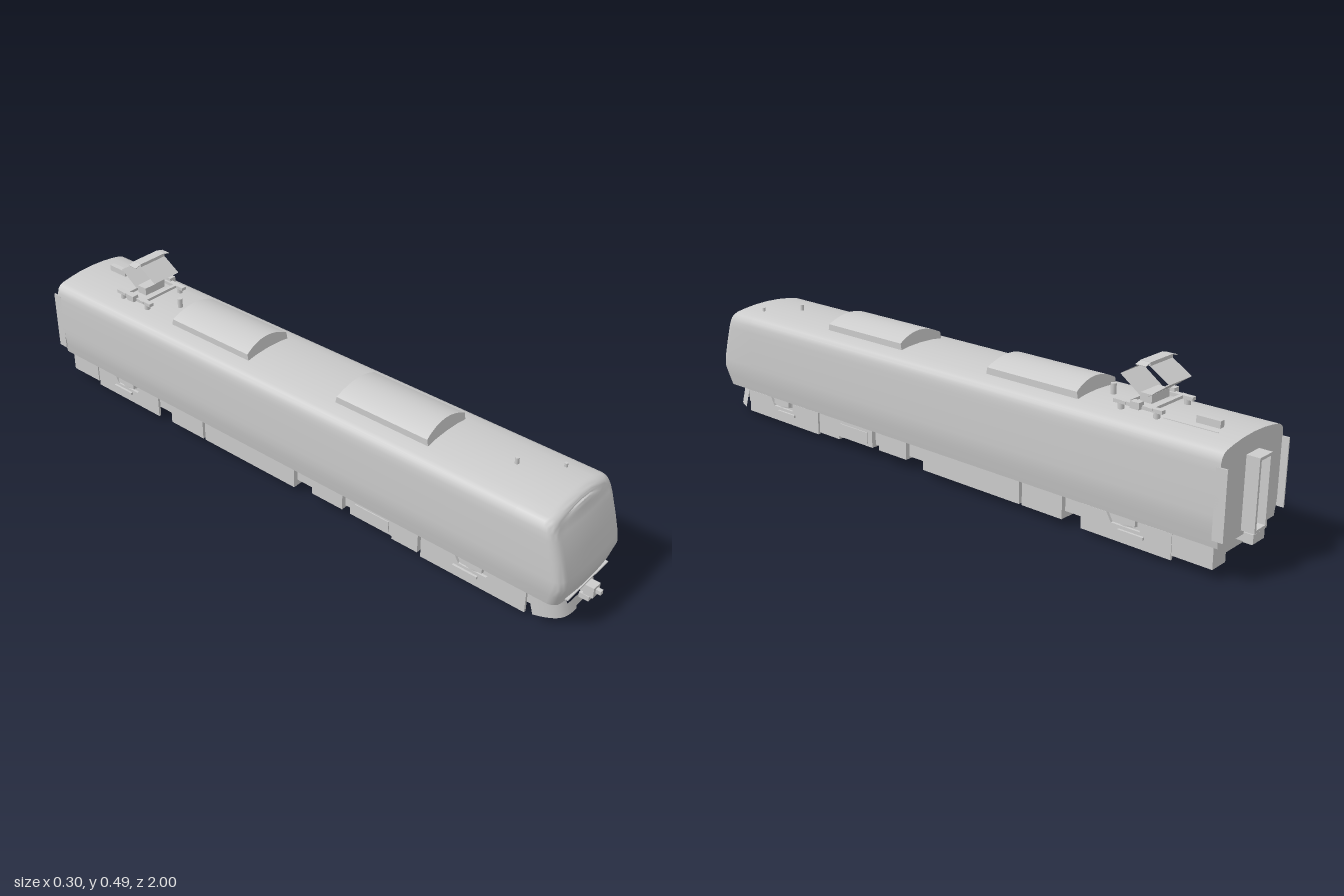
import * as THREE from 'three';
import { toCreasedNormals } from 'three/addons/utils/BufferGeometryUtils.js';

const grey = new THREE.MeshStandardMaterial({ color: 0xcccccc });
const thin = new THREE.MeshStandardMaterial({ color: 0xcccccc, side: THREE.DoubleSide });

function add(parent, name, geo, mat = grey) {
  const m = new THREE.Mesh(geo, mat);
  m.name = name;
  parent.add(m);
  return m;
}

// box given by its limits on each axis
function box(parent, name, x0, x1, y0, y1, z0, z1) {
  const g = new THREE.BoxGeometry(x1 - x0, y1 - y0, z1 - z0);
  g.translate((x0 + x1) / 2, (y0 + y1) / 2, (z0 + z1) / 2);
  return add(parent, name, g);
}

function rod(parent, name, r, x, y0, y1, z) {
  const g = new THREE.CylinderGeometry(r, r, y1 - y0, 12);
  g.translate(x, (y0 + y1) / 2, z);
  return add(parent, name, g);
}

// skin between closed rings of [x, y, z], ordered from back to front
function loft(rings, crease) {
  const n = rings[0].length, index = [];
  for (let i = 0; i < rings.length - 1; i++) {
    for (let j = 0; j < n; j++) {
      const a = i * n + j, b = i * n + (j + 1) % n;
      index.push(a, b, a + n, b, b + n, a + n);
    }
  }
  const g = new THREE.BufferGeometry();
  g.setAttribute('position', new THREE.Float32BufferAttribute(rings.flat(2), 3));
  g.setIndex(index);
  return toCreasedNormals(g, crease);
}

function carBody(parent) {
  const half = [[0.135, 0.095], [0.142, 0.13], [0.147, 0.16], [0.148, 0.185], [0.148, 0.24],
    [0.148, 0.3], [0.147, 0.322], [0.143, 0.336], [0.135, 0.345], [0.122, 0.351],
    [0.09, 0.357], [0.05, 0.362]];
  const profile = [...half, [0, 0.364], ...half.map(([x, y]) => [-x, y]).reverse()];
  // slanting line of the cab front
  const front = (y) => y < 0.165
    ? 0.945 + (y - 0.095) * 0.28
    : 0.9646 - 0.24 * (y - 0.165) - 0.25 * Math.max(0, y - 0.165) ** 2;
  const ring = (s, z) => profile.map(([x, y]) => [x * s, y, z]);
  const rings = [ring(0, -0.962), ring(1, -0.962), ring(1, 0.8)];
  const r = 0.03;
  const nose = (s, inset, back) => profile.map(([x, y]) => {
    const top = THREE.MathUtils.smoothstep(y, 0.28, 0.34);
    const z = front(y) - back + 0.006 * (1 - s * s);
    return [x * s * (1 - inset / 0.148), y - inset * 0.5 * top, z];
  });
  for (let k = 0; k <= 6; k++) {
    const t = k / 6 * Math.PI / 2;
    rings.push(nose(1, r * (1 - Math.cos(t)), r * (1 - Math.sin(t))));
  }
  for (const s of [0.75, 0.5, 0.25, 0]) rings.push(nose(s, r, 0));
  add(parent, 'carBody', loft(rings, 0.7));
  box(parent, 'cabSill', -0.1, 0.1, 0.103, 0.107, 0.93, 0.958);
}

// roof unit with an arched top and slightly sloping ends
function roofUnit(parent, z) {
  const ring = (s, dz, full) => {
    const pts = [[0.085, 0.345], [0.085, 0.377]];
    for (let k = 1; k < 12; k++) {
      const u = Math.cos(k / 12 * Math.PI);
      pts.push([0.085 * u, 0.377 + 0.024 * (1 - u * u)]);
    }
    pts.push([-0.085, 0.377], [-0.085, 0.345]);
    return pts.map(([x, y]) => [x * full, y, z + s * (0.163 - dz * (y - 0.345))]);
  };
  const rings = [ring(-1, 0.2, 0), ring(-1, 0.2, 1), ring(1, 0.2, 1), ring(1, 0.2, 0)];
  add(parent, 'roofUnit', loft(rings, 0.6));
}

function pantograph(parent) {
  const g = new THREE.Group();
  g.name = 'pantograph';
  g.position.z = -0.67;
  parent.add(g);
  for (const s of [-1, 1]) {
    box(g, 'baseRail', s * 0.07 - 0.008, s * 0.07 + 0.008, 0.374, 0.384, -0.075, 0.075);
    box(g, 'baseBar', -0.08, 0.08, 0.376, 0.384, s * 0.04 - 0.006, s * 0.04 + 0.006);
    box(g, 'sideBracket', s * 0.08 - 0.011, s * 0.08 + 0.011, 0.375, 0.394, -0.014, 0.014);
    for (const e of [-1, 1]) rod(g, 'insulator', 0.009, s * 0.07, 0.35, 0.376, e * 0.055);
    // lower and upper arms form a diamond
    for (const [y0, z0, y1, z1] of [[0.4, 0.012, 0.445, 0.075], [0.445, 0.075, 0.487, 0.008]]) {
      const p = new THREE.PlaneGeometry(0.102, Math.hypot(y1 - y0, z1 - z0));
      p.rotateX(Math.atan2(z1 - z0, y1 - y0));
      p.translate(0, (y0 + y1) / 2, (z0 + z1) / 2);
      if (s < 0) p.rotateY(Math.PI);
      add(g, 'arm', p, thin);
    }
    const horn = box(g, 'horn', -0.012, 0.012, -0.001, 0.001, -0.016, 0.016);
    horn.position.set(s * 0.059, 0.489, 0);
    horn.rotation.z = -s * 0.25;
  }
  box(g, 'hingeBlock', -0.04, 0.04, 0.38, 0.404, -0.018, 0.018);
  box(g, 'contactHead', -0.05, 0.05, 0.483, 0.493, -0.016, 0.016);
}

function bogie(parent, z, len) {
  const g = new THREE.Group();
  g.name = 'bogie';
  g.position.z = z;
  parent.add(g);
  const h = len / 2;
  for (const s of [-1, 1]) {
    // side frame with a raised waist cut for the spring
    const shape = new THREE.Shape([[-h, 0.015], [h, 0.015], [h, 0.088], [0.06, 0.088],
      [0.045, 0.062], [-0.045, 0.062], [-0.06, 0.088], [-h, 0.088]]
      .map(([a, b]) => new THREE.Vector2(a, b)));
    const f = new THREE.ExtrudeGeometry(shape, { depth: 0.008, bevelEnabled: false });
    f.rotateY(Math.PI / 2);
    f.translate(s * 0.119 - 0.004, 0, 0);
    add(g, 'sideFrame', f);
    rod(g, 'airSpring', 0.034, s * 0.096, 0.068, 0.096, 0);
    box(g, 'damper', s * 0.126 - 0.004, s * 0.126 + 0.004, 0.045, 0.053, -0.06, 0.02);
    box(g, 'damperBracket', s * 0.125 - 0.005, s * 0.125 + 0.005, 0.074, 0.095, -0.035, 0.035);
    for (const e of [-1, 1]) {
      const w = new THREE.CylinderGeometry(0.04, 0.04, 0.008, 32);
      w.rotateZ(Math.PI / 2);
      w.translate(s * 0.053, 0.04, e * 0.105);
      add(g, 'wheel', w);
    }
  }
}

function frontSkirt(parent) {
  const plate = (name, x0, x1, y0, y1) => {
    const g = new THREE.PlaneGeometry(x1 - x0, y1 - y0, 10, 2);
    g.translate((x0 + x1) / 2, (y0 + y1) / 2, 0);
    const p = g.attributes.position;
    for (let i = 0; i < p.count; i++) {
      const u = Math.abs(p.getX(i)) / 0.122;
      p.setZ(i, 0.95 - 0.075 * u ** 5 - 0.3 * (p.getY(i) - 0.02));
    }
    g.computeVertexNormals();
    add(parent, name, g, thin);
  };
  for (const s of [-1, 1]) {
    const side = (a, b, y0, y1) => plate('skirt', Math.min(s * a, s * b), Math.max(s * a, s * b), y0, y1);
    side(0.06, 0.122, 0.022, 0.097);
    side(0.025, 0.06, 0.022, 0.055);
  }
  plate('skirtCentre', -0.025, 0.025, 0.03, 0.055);
  box(parent, 'couplerRecess', -0.06, 0.06, 0.05, 0.096, 0.88, 0.9);
  box(parent, 'couplerShank', -0.01, 0.01, 0.072, 0.09, 0.89, 0.97);
  box(parent, 'couplerHead', -0.016, 0.016, 0.07, 0.103, 0.955, 0.985);
  box(parent, 'couplerNose', -0.006, 0.006, 0.083, 0.095, 0.98, 1);
  box(parent, 'couplerFoot', -0.018, 0.018, 0.055, 0.071, 0.945, 0.975);
}

function rearEnd(parent) {
  // hollow gangway frame
  const s = new THREE.Shape([[-0.03, 0.11], [0.03, 0.11], [0.03, 0.312], [-0.03, 0.312]]
    .map(([x, y]) => new THREE.Vector2(x, y)));
  s.holes.push(new THREE.Path([[-0.022, 0.118], [-0.022, 0.304], [0.022, 0.304], [0.022, 0.118]]
    .map(([x, y]) => new THREE.Vector2(x, y))));
  const g = new THREE.ExtrudeGeometry(s, { depth: 0.04, bevelEnabled: false });
  g.translate(0, 0, -1);
  add(parent, 'gangway', g);
  for (const e of [-1, 1]) {
    box(parent, 'endFairing', e * 0.146 - 0.002, e * 0.146 + 0.002, 0.12, 0.312, -0.982, -0.95);
  }
  box(parent, 'rearCoupler', -0.015, 0.015, 0.075, 0.1, -0.99, -0.93);
}

export function createModel() {
  const train = new THREE.Group();
  train.name = 'railcar';
  carBody(train);
  for (const z of [0.327, -0.327]) roofUnit(train, z);
  pantograph(train);

  // small roof fittings
  rod(train, 'arrester', 0.008, 0, 0.355, 0.394, -0.54);
  rod(train, 'aerial', 0.006, 0, 0.355, 0.382, 0.71);
  rod(train, 'whistle', 0.005, 0.078, 0.35, 0.37, 0.81);
  box(train, 'roofBox', 0.021, 0.038, 0.355, 0.382, -0.89, -0.82);
  box(train, 'conduit', 0.06, 0.063, 0.355, 0.362, -0.9, -0.74);

  // underfloor: shallow tray with equipment boxes along both sides
  box(train, 'underframe', -0.11, 0.11, 0.042, 0.096, -0.93, 0.87);
  const boxes = [[0.41, 0.5, 0.025], [0.26, 0.41, 0.035], [0.115, 0.23, 0.035],
    [-0.325, 0.045, 0.022], [-0.475, -0.335, 0.022], [-0.945, -0.825, 0.03]];
  for (const s of [-1, 1]) {
    for (const [z0, z1, y] of boxes) {
      box(train, 'equipmentBox', s * 0.095 - 0.03, s * 0.095 + 0.03, y, 0.097, z0, z1);
    }
    box(train, 'equipmentLid', s * 0.126 - 0.002, s * 0.126 + 0.002, 0.045, 0.08, 0.28, 0.4);
  }
  bogie(train, 0.68, 0.34);
  bogie(train, -0.68, 0.285);
  frontSkirt(train);
  rearEnd(train);
  return train;
}
